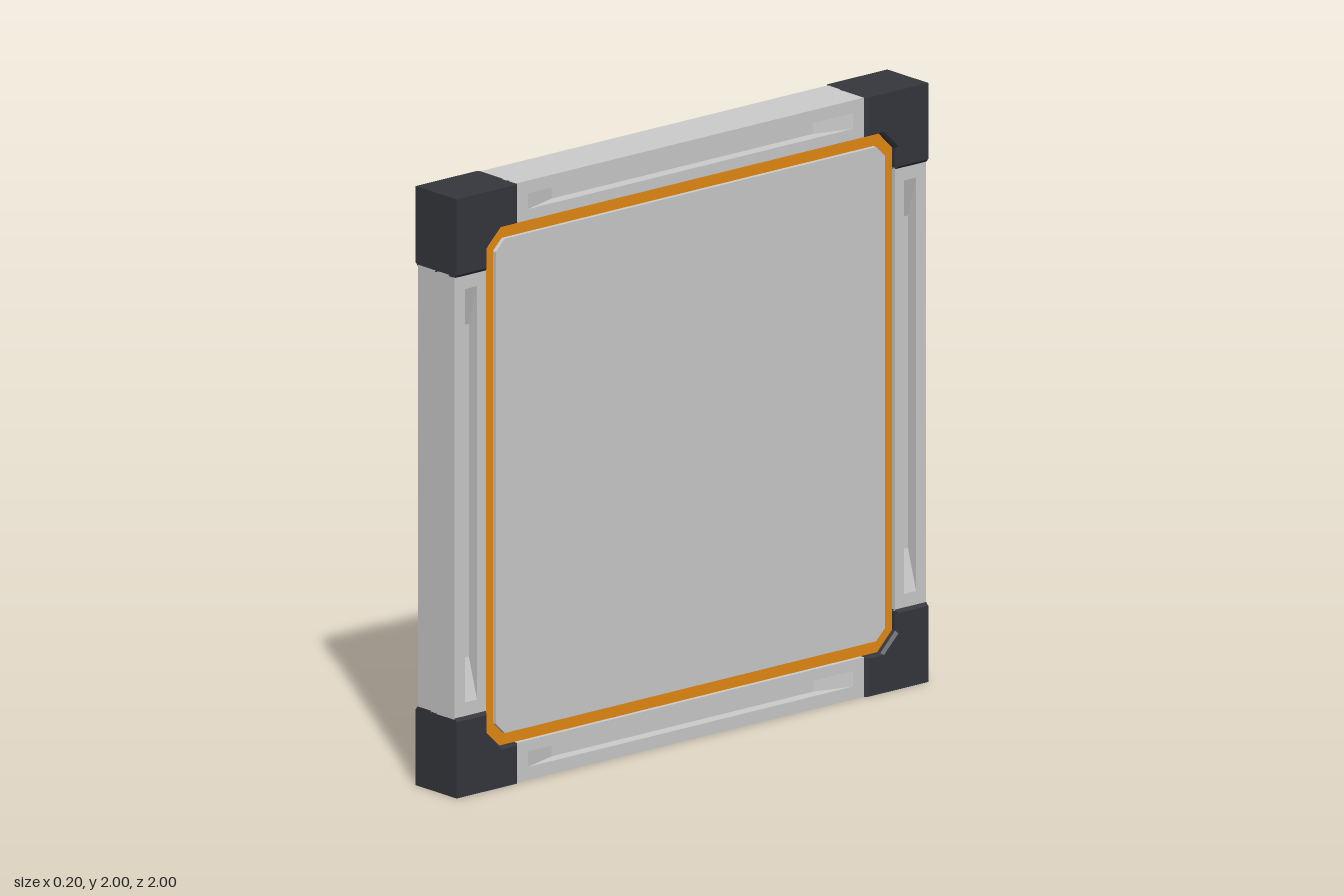
import * as THREE from 'three';

const grey = new THREE.MeshStandardMaterial({ color: 0xcccccc, flatShading: true });
const dark = new THREE.MeshStandardMaterial({ color: 0x35373d, flatShading: true });
const orange = new THREE.MeshStandardMaterial({ color: 0xe58a12, flatShading: true });

const INNER = 0.868;  // inner edge of the frame
const BAR = 0.09;     // half thickness of the bars
const CAP = 0.1;      // half thickness of the corner blocks

const toPoints = (list) => list.map(([x, y]) => new THREE.Vector2(x, y));

// Square with cut corners, half size h, cut c
function octagon(h, c) {
  const k = h - c;
  return toPoints([[h, -k], [h, k], [k, h], [-k, h], [-h, k], [-h, -k], [-k, -h], [k, -h]]);
}

// Outline extruded evenly to both sides of z = 0
function slab(points, half, hole) {
  const shape = new THREE.Shape(points);
  if (hole) shape.holes.push(new THREE.Path(hole));
  const geo = new THREE.ExtrudeGeometry(shape, { depth: 2 * half, bevelEnabled: false });
  return geo.translate(0, 0, -half);
}

function addMesh(parent, name, geo, material) {
  const mesh = new THREE.Mesh(geo, material);
  mesh.name = name;
  parent.add(mesh);
  return mesh;
}

// Top bar: two plain rails and a grooved strip with ramped groove ends on both faces
function makeBar() {
  const bar = new THREE.Group();
  bar.name = 'frameBar';
  const end = 0.74, low = 0.905, high = 0.957, floor = 0.05;
  for (const [name, a, b] of [['innerRail', INNER, low], ['outerRail', high, 1]]) {
    const geo = new THREE.BoxGeometry(2 * end, b - a, 2 * BAR).translate(0, (a + b) / 2, 0);
    addMesh(bar, name, geo, grey);
  }
  const profile = toPoints([
    [-end, -BAR], [-0.69, -BAR], [-0.555, -floor], [0.555, -floor], [0.69, -BAR], [end, -BAR],
    [end, BAR], [0.69, BAR], [0.555, floor], [-0.555, floor], [-0.69, BAR], [-end, BAR],
  ]);
  const strip = slab(profile, (high - low) / 2).rotateX(Math.PI / 2).translate(0, (high + low) / 2, 0);
  addMesh(bar, 'groovedStrip', strip, grey);
  return bar;
}

// Corner block: L outline with a cut inside corner, its inner edges bevelled
function cornerGeometry() {
  const s = 0.735, c = 0.805;
  const shape = new THREE.Shape(toPoints([[1, 1], [s, 1], [s, INNER], [c, INNER], [INNER, c], [INNER, s], [1, s]]));
  const geo = new THREE.ExtrudeGeometry(shape, { depth: 2 * CAP, steps: 3, bevelEnabled: false });
  geo.translate(0, 0, -CAP);
  const p = geo.attributes.position;
  for (let i = 0; i < p.count; i++) {
    const z = p.getZ(i);
    if (Math.abs(z) > 0.09) { // end layers shrink towards the outer corner
      p.setX(i, 1 - (1 - p.getX(i)) * 0.96);
      p.setY(i, 1 - (1 - p.getY(i)) * 0.96);
    } else { // middle layers move next to the ends
      p.setZ(i, Math.sign(z) * (CAP - 0.01));
    }
  }
  geo.computeVertexNormals();
  return geo;
}

export function createModel() {
  const model = new THREE.Group();
  model.name = 'framedPanel';

  // Built facing z, then turned to face x
  const body = new THREE.Group();
  body.name = 'panelBody';
  body.position.y = 1;
  body.rotation.y = Math.PI / 2;
  model.add(body);

  // Four bars and four corner blocks
  const corner = cornerGeometry();
  for (let i = 0; i < 4; i++) {
    const bar = makeBar();
    bar.rotation.z = i * Math.PI / 2;
    body.add(bar);
    addMesh(body, 'cornerBlock', corner, dark).rotation.z = i * Math.PI / 2;
  }

  // Coloured trim ring and the panel standing slightly proud of it
  addMesh(body, 'trim', slab(octagon(INNER, 0.063), 0.075, octagon(0.825, 0.037)), orange);
  addMesh(body, 'centrePanel', slab(octagon(0.825, 0.037), 0.09), grey);

  return model;
}
